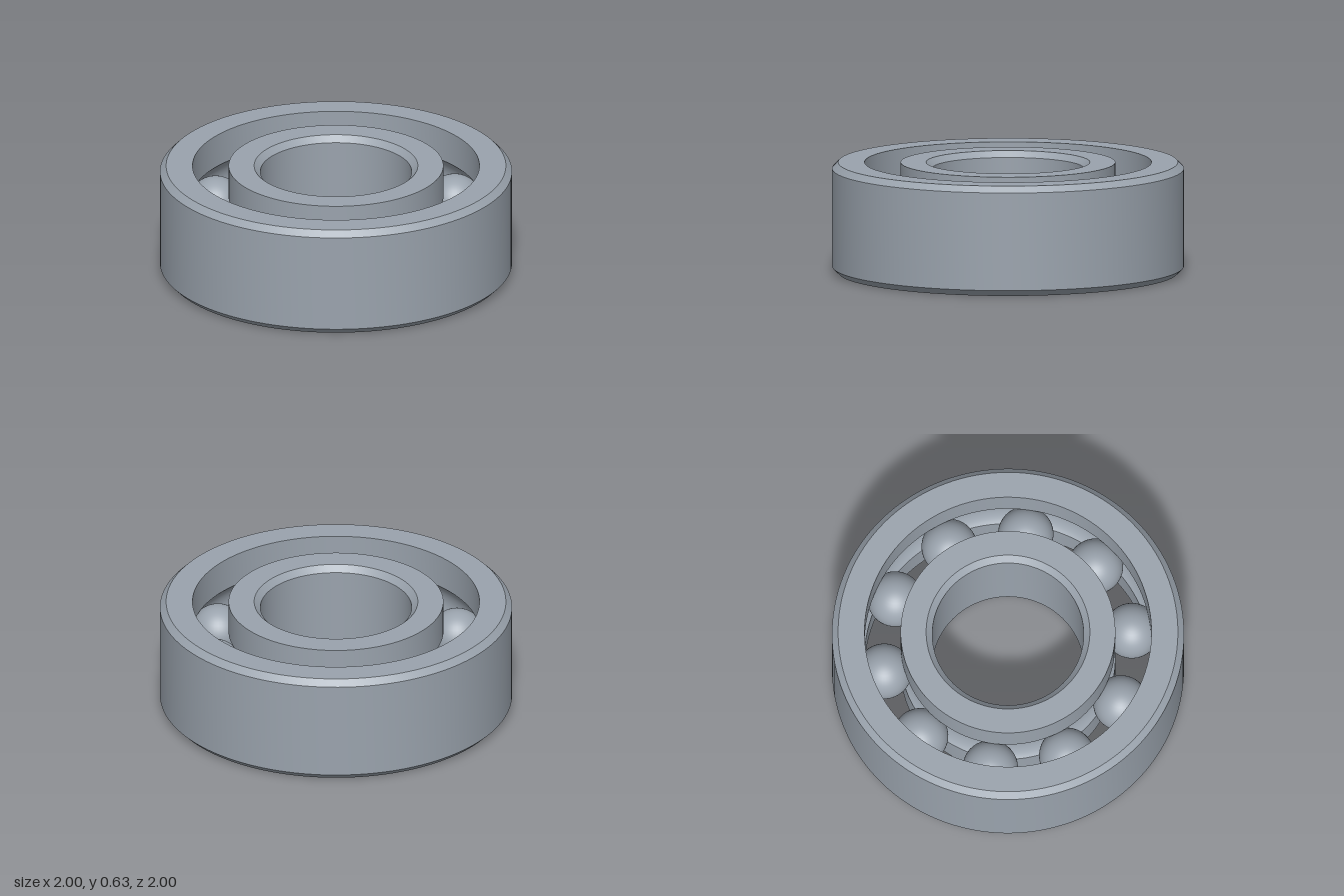
import * as THREE from 'three';
import { toCreasedNormals } from 'three/addons/utils/BufferGeometryUtils.js';

const HEIGHT = 0.63, MID = HEIGHT / 2, CHAMFER = 0.035;
const BALLS = 10, BALL_RADIUS = 0.158, PITCH = 0.714, GROOVE = 0.16;

// Points of the raceway arc, from angle a to angle b about the ball centre
function raceway(a, b, steps = 16) {
  return Array.from({ length: steps + 1 }, (_, i) => {
    const t = a + (b - a) * i / steps;
    return [PITCH + GROOVE * Math.cos(t), MID + GROOVE * Math.sin(t)];
  });
}

// Closed counter-clockwise profile turned about y, with sharp edges kept
function ring(name, profile, material) {
  const points = [...profile, profile[0]].map(([r, y]) => new THREE.Vector2(r, y));
  const geometry = toCreasedNormals(new THREE.LatheGeometry(points, 128), Math.PI / 6);
  const mesh = new THREE.Mesh(geometry, material);
  mesh.name = name;
  return mesh;
}

export function createModel() {
  const group = new THREE.Group();
  group.name = 'ballBearing';
  const steel = new THREE.MeshStandardMaterial({ color: 0x9aa3ad });
  steel.name = 'steel';

  // Outer ring: chamfered outside, grooved inside
  const outerLand = 0.815;
  const outerAngle = Math.acos((outerLand - PITCH) / GROOVE);
  group.add(ring('outerRing', [
    [outerLand, 0], [1 - CHAMFER, 0], [1, CHAMFER],
    [1, HEIGHT - CHAMFER], [1 - CHAMFER, HEIGHT], [outerLand, HEIGHT],
    ...raceway(outerAngle, -outerAngle),
  ], steel));

  // Inner ring: grooved outside, chamfered bore
  const innerLand = 0.61, bore = 0.43;
  const innerAngle = Math.acos((innerLand - PITCH) / GROOVE);
  group.add(ring('innerRing', [
    [bore + CHAMFER, 0], [innerLand, 0],
    ...raceway(2 * Math.PI - innerAngle, innerAngle),
    [innerLand, HEIGHT], [bore + CHAMFER, HEIGHT],
    [bore, HEIGHT - CHAMFER], [bore, CHAMFER],
  ], steel));

  // Balls evenly spaced in the raceway
  const ballGeometry = new THREE.SphereGeometry(BALL_RADIUS, 40, 24);
  for (let i = 0; i < BALLS; i++) {
    const angle = THREE.MathUtils.degToRad(12) + i * 2 * Math.PI / BALLS;
    const ball = new THREE.Mesh(ballGeometry, steel);
    ball.name = `ball${i + 1}`;
    ball.position.set(PITCH * Math.cos(angle), MID, PITCH * Math.sin(angle));
    group.add(ball);
  }
  return group;
}
